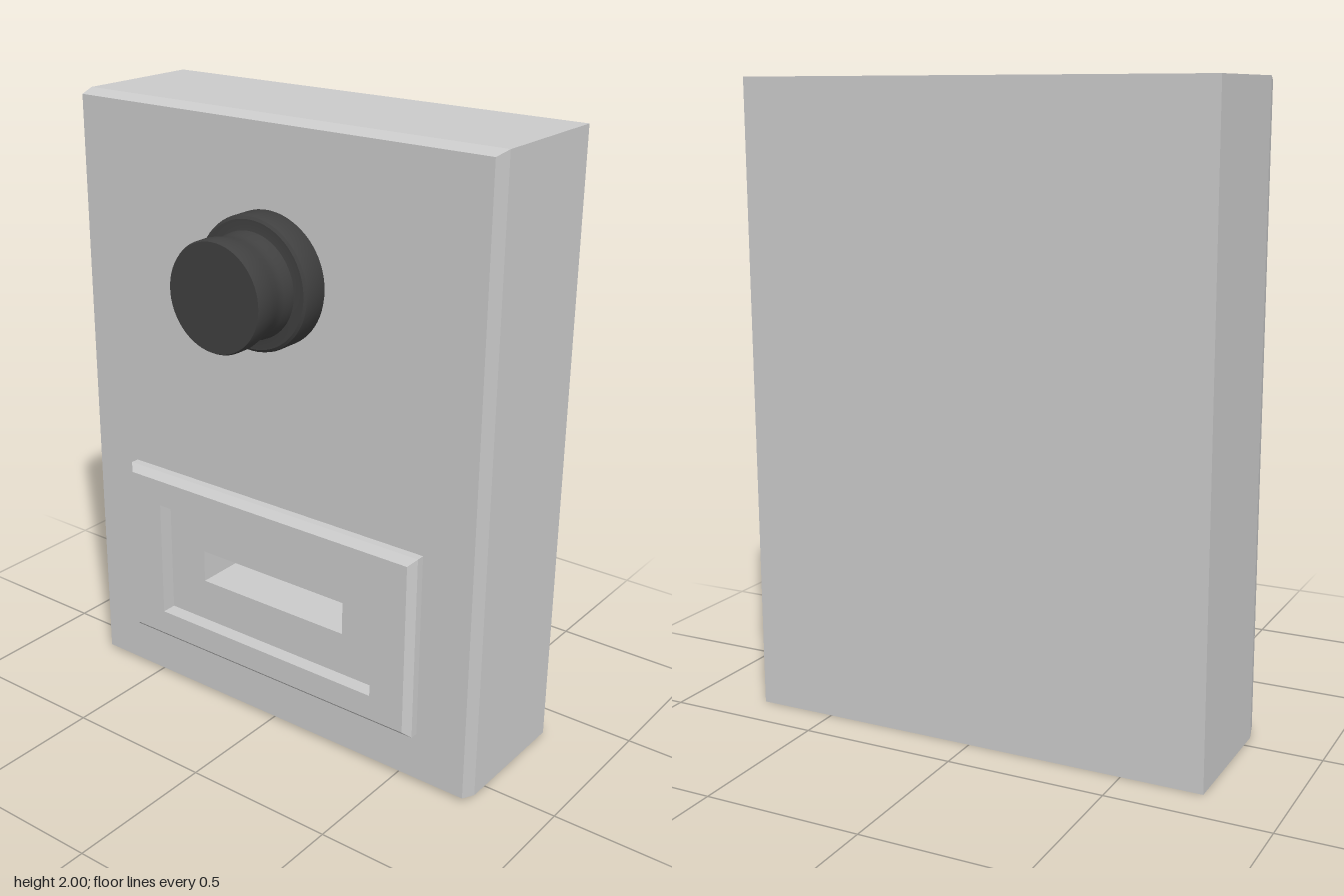
import * as THREE from 'three';
import { toCreasedNormals } from 'three/addons/utils/BufferGeometryUtils.js';

const grey = new THREE.MeshStandardMaterial({ color: 0xcccccc });
const black = new THREE.MeshStandardMaterial({ color: 0x404040 });

// Flat-faced skin through rectangles [x0, x1, y0, y1, z]; ends are closed when capped.
function rectLoft(rects, capped) {
  const rings = rects.map(([x0, x1, y0, y1, z]) => [[x0, y0, z], [x1, y0, z], [x1, y1, z], [x0, y1, z]]);
  const pos = [];
  const quad = (a, b, c, d) => pos.push(...a, ...b, ...c, ...a, ...c, ...d);
  for (let k = 0; k + 1 < rings.length; k++) {
    const [A, B] = [rings[k], rings[k + 1]];
    for (let i = 0; i < 4; i++) {
      const j = (i + 1) % 4;
      quad(A[i], A[j], B[j], B[i]);
    }
  }
  if (capped) {
    const first = rings[0], last = rings[rings.length - 1];
    quad(first[3], first[2], first[1], first[0]);
    quad(last[0], last[1], last[2], last[3]);
  }
  const geo = new THREE.BufferGeometry();
  geo.setAttribute('position', new THREE.Float32BufferAttribute(pos, 3));
  geo.computeVertexNormals();
  return geo;
}

export function createModel() {
  const group = new THREE.Group();
  const add = (name, geo, mat) => {
    const mesh = new THREE.Mesh(geo, mat);
    mesh.name = name;
    group.add(mesh);
    return mesh;
  };

  // Housing: box with a bevelled front edge and a deep slot sunk into its face
  add('housing', rectLoft([
    [-0.755, 0.755, 0, 2, -0.37],
    [-0.755, 0.755, 0, 2, 0.06],
    [-0.743, 0.743, 0.013, 1.987, 0.113],
    [-0.285, 0.282, 0.425, 0.535, 0.113],
    [-0.285, 0.282, 0.425, 0.535, -0.15],
  ], true), grey);

  // Raised frame around the slot, bevelled outside, square inside
  add('slotFrame', rectLoft([
    [-0.573, 0.57, 0.175, 0.79, 0.113],
    [-0.573, 0.57, 0.175, 0.79, 0.14],
    [-0.551, 0.548, 0.197, 0.768, 0.163],
    [-0.43, 0.425, 0.28, 0.68, 0.163],
    [-0.43, 0.425, 0.28, 0.68, 0.113],
  ], false), grey);

  // Turned knob: rounded collar, waisted neck, wider grip
  const profile = [
    [0, 0.113], [0.2, 0.113], [0.206, 0.122], [0.206, 0.19], [0.203, 0.2], [0.195, 0.206],
    [0.175, 0.206], [0.162, 0.208], [0.161, 0.225], [0.156, 0.245], [0.154, 0.257],
    [0.157, 0.275], [0.163, 0.3], [0.168, 0.325], [0.168, 0.362], [0.164, 0.37], [0, 0.37],
  ].map(([r, y]) => new THREE.Vector2(r, y));
  const knobGeo = toCreasedNormals(new THREE.LatheGeometry(profile, 64).rotateX(Math.PI / 2), 0.6);
  add('knob', knobGeo, black).position.set(0.003, 1.53, 0);

  return group;
}
